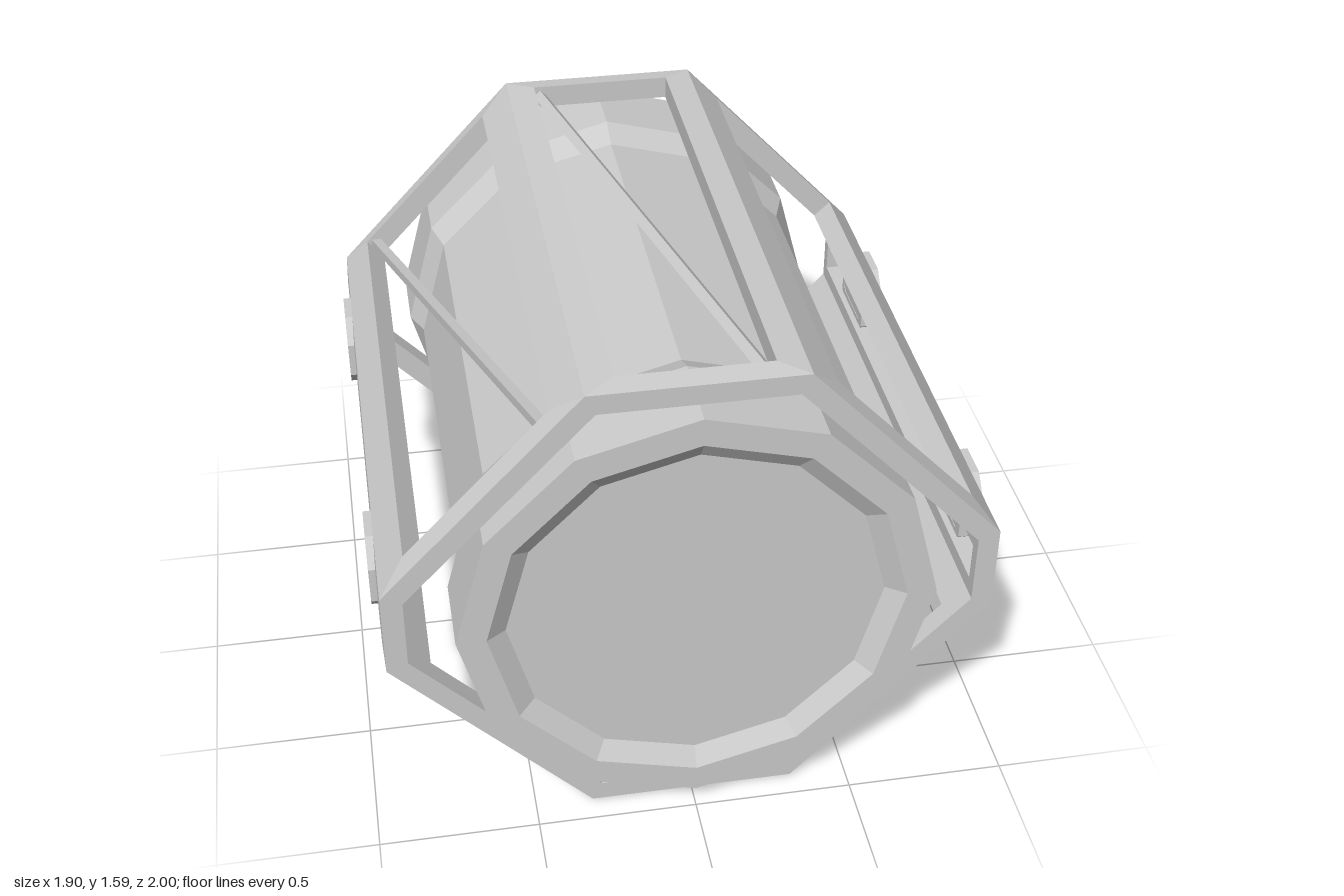
import * as THREE from 'three';

const CY = 0.795, ZF = 0.93, ZB = -0.965;
const mat = new THREE.MeshStandardMaterial({ color: 0xcccccc, flatShading: true });
const V = (x, y, z) => new THREE.Vector3(x, y, z);

function mesh(geo, name) {
  const m = new THREE.Mesh(geo, mat);
  m.name = name;
  return m;
}

// Flat-shaded geometry from a list of quads (corners counter-clockwise)
function fromQuads(quads) {
  const pos = [];
  for (const [a, b, c, d] of quads)
    for (const p of [a, b, c, a, c, d]) pos.push(p.x, p.y, p.z);
  const g = new THREE.BufferGeometry();
  g.setAttribute('position', new THREE.Float32BufferAttribute(pos, 3));
  g.computeVertexNormals();
  return g;
}

// Octagon corners, counter-clockwise from the lower right side
function octagon(w, h, sideW, sideH) {
  return [[sideW, -sideH], [sideW, sideH], [w, h], [-w, h], [-sideW, sideH], [-sideW, -sideH], [-w, -h], [w, -h]]
    .map(([x, y]) => V(x, y + CY, 0));
}

// Octagonal cage: every side is a slab with a window, its rim slightly raised
function buildFrame() {
  const outer = octagon(0.32, 0.785, 0.925, 0.14);
  const inner = octagon(0.29, 0.72, 0.86, 0.115);
  const quads = [];
  const at = (p, z) => V(p.x, p.y, z);
  const rect = (a, b, zb, zf) => [at(a, zb), at(b, zb), at(b, zf), at(a, zf)];
  for (let i = 0; i < 8; i++) {
    const j = (i + 1) % 8;
    const A = outer[i], B = outer[j];
    const t = B.clone().sub(A).normalize(), n = V(t.y, -t.x, 0);
    const isSide = i % 4 === 0, isFlat = i % 4 === 2;
    const inset = isSide ? 0.077 : isFlat ? 0.09 : 0.125;
    const endInset = isSide ? 0.04 : 0.068;
    const raise = isSide ? 0.004 : 0.01;
    const hole = d => rect(
      A.clone().addScaledVector(t, inset).addScaledVector(n, d),
      B.clone().addScaledVector(t, -inset).addScaledVector(n, d),
      ZB + endInset, ZF - endInset);
    const loops = [rect(A, B, ZB, ZF), hole(raise), hole(-0.065), rect(inner[i], inner[j], ZB, ZF)];
    for (let k = 0; k < 3; k++)
      for (let c = 0; c < 4; c++) {
        const d = (c + 1) % 4;
        quads.push([loops[k][c], loops[k][d], loops[k + 1][d], loops[k + 1][c]]);
      }
    // End faces
    quads.push([at(A, ZF), at(B, ZF), at(inner[j], ZF), at(inner[i], ZF)]);
    quads.push([at(B, ZB), at(A, ZB), at(inner[i], ZB), at(inner[j], ZB)]);
  }
  return mesh(fromQuads(quads), 'octagonalFrame');
}

// Twelve-sided barrel with wider end bands and recessed end faces
function buildBarrel() {
  const profile = [
    [0, -0.96], [0.57, -0.96], [0.63, -1], [0.72, -1], [0.72, -0.75], [0.68, -0.66],
    [0.68, 0.65], [0.72, 0.74], [0.72, 1], [0.63, 1], [0.57, 0.96], [0, 0.96],
  ].map(([r, y]) => new THREE.Vector2(r, y));
  const g = new THREE.LatheGeometry(profile, 12).rotateX(Math.PI / 2).translate(0, CY, 0);
  return mesh(g, 'barrel');
}

// Diagonal rod with a four-sided section, one ridge facing outward
function buildBrace(a, b, outward, name) {
  const dir = b.clone().sub(a);
  const m = mesh(new THREE.CylinderGeometry(0.022, 0.022, dir.length(), 4), name);
  const y = dir.clone().normalize();
  const x = V().crossVectors(y, outward).normalize();
  m.quaternion.setFromRotationMatrix(new THREE.Matrix4().makeBasis(x, y, V().crossVectors(x, y)));
  m.position.copy(a).add(b).multiplyScalar(0.5);
  return m;
}

// Chamfered rectangle outline
function chamfered(Type, hw, hh, c) {
  return new Type([
    [hw, -hh + c], [hw, hh - c], [hw - c, hh], [-hw + c, hh],
    [-hw, hh - c], [-hw, -hh + c], [-hw + c, -hh], [hw - c, -hh],
  ].map(([x, y]) => new THREE.Vector2(x, y)));
}

// Octagonal latch plate with a slot that has a closed floor
function buildLatch(side, z) {
  const latch = new THREE.Group();
  latch.name = 'latch';
  const plate = chamfered(THREE.Shape, 0.133, 0.133, 0.072);
  plate.holes.push(chamfered(THREE.Path, 0.108, 0.052, 0.015));
  latch.add(mesh(new THREE.ExtrudeGeometry(plate, { depth: 0.07, bevelEnabled: false }), 'latchPlate'));
  const floor = mesh(new THREE.BoxGeometry(0.22, 0.11, 0.02), 'latchFloor');
  floor.position.z = 0.012;
  latch.add(floor);
  latch.position.set(side * 0.88, 0.802, z);
  latch.rotation.y = side * Math.PI / 2;
  return latch;
}

export function createModel() {
  const model = new THREE.Group();
  model.name = 'framedBarrel';
  model.add(buildBarrel(), buildFrame());

  // Braces across the top window and the upper right window
  model.add(buildBrace(V(-0.21, 1.555, -0.9), V(0.205, 1.555, 0.865), V(0, 1, 0), 'topBrace'));
  model.add(buildBrace(V(-0.815, 1.025, -0.9), V(-0.425, 1.44, 0.865), V(-0.73, 0.68, 0), 'slopeBrace'));

  for (const side of [1, -1])
    for (const z of [0.575, -0.63]) model.add(buildLatch(side, z));
  return model;
}
